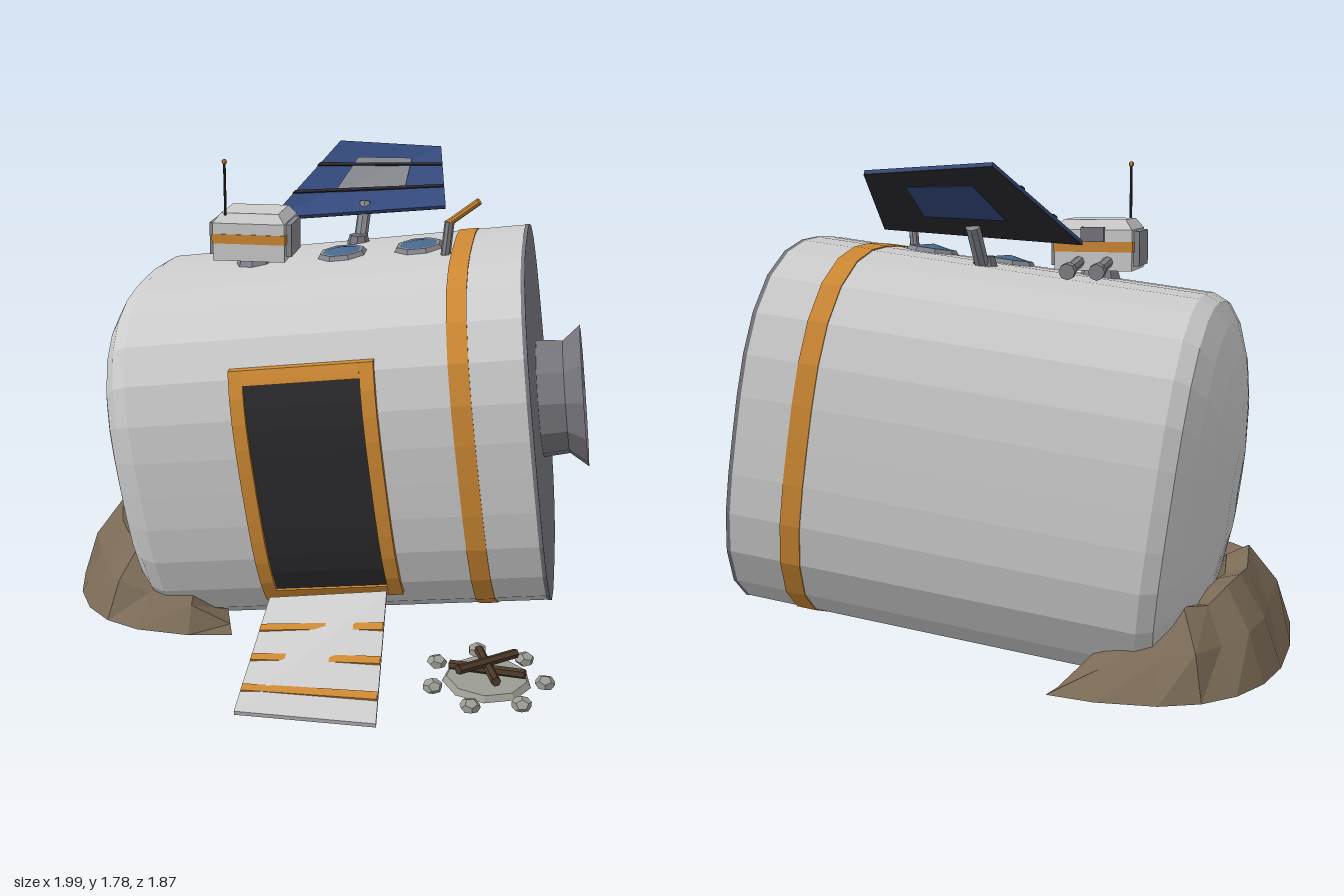
import * as THREE from 'three';

const V = (x, y, z) => new THREE.Vector3(x, y, z);
const mat = (color, extra = {}) => new THREE.MeshStandardMaterial({ color, flatShading: true, ...extra });
const GREY = mat(0xcccccc), DARK = mat(0x77757c), ORANGE = mat(0xcc8833), BLACK = mat(0x2a2a2e);
const BLUE = mat(0x34497c), GLASS = mat(0x46688c), STEEL = mat(0x85868c);
const SOIL = mat(0x7a6a56, { side: THREE.DoubleSide }), WOOD = mat(0x4a3828), STONE = mat(0x9a9c94);

const HALF = 0.705, RY = 0.665, RZ = 0.65, POW = 3; // hull half length, radii, squareness

function add(parent, name, geo, material, pos) {
  const mesh = new THREE.Mesh(geo, material);
  mesh.name = name;
  if (pos) mesh.position.set(...pos);
  parent.add(mesh);
  return mesh;
}

// Apply a rule to every vertex of a geometry
function warp(geo, rule) {
  const p = geo.attributes.position, v = V(0, 0, 0);
  for (let i = 0; i < p.count; i++) {
    rule(v.fromBufferAttribute(p, i));
    p.setXYZ(i, v.x, v.y, v.z);
  }
  geo.computeVertexNormals();
  return geo;
}

const lathe = (pts, n) => new THREE.LatheGeometry(pts.map(p => new THREE.Vector2(...p)), n).rotateZ(-Math.PI / 2);

// Rounded-square hull section turned about x; profile points are [scale, x]
const hullPart = pts => warp(lathe(pts, 32), v => {
  const r = Math.hypot(v.y, v.z);
  if (r < 1e-5) return;
  const f = Math.pow(Math.abs(v.y / r) ** POW + Math.abs(v.z / r) ** POW, -1 / POW);
  v.y *= f * RY;
  v.z *= f * RZ;
});

// Plate that follows the hull's front side
const sidePlate = (x0, x1, y0, y1, off) => {
  const geo = new THREE.BoxGeometry(x1 - x0, y1 - y0, 0.04, 1, 10, 1);
  geo.translate((x0 + x1) / 2, (y0 + y1) / 2, off - 0.02);
  return warp(geo, v => { v.z += RZ * Math.pow(1 - Math.abs(v.y / RY) ** POW, 1 / POW); });
};

// Slab stretched over four corners; u0..u1 and v0..v1 select a part of it
function slab(c, thick, u0 = 0, u1 = 1, v0 = 0, v1 = 1, lift = 0) {
  const n = c[1].clone().sub(c[0]).cross(c[3].clone().sub(c[0])).normalize();
  return warp(new THREE.BoxGeometry(1, 1, 1), p => {
    const u = THREE.MathUtils.lerp(u0, u1, p.x + 0.5), v = THREE.MathUtils.lerp(v0, v1, p.y + 0.5);
    const h = p.z * thick + lift;
    p.copy(c[0]).lerp(c[1], u).lerp(c[3].clone().lerp(c[2], u), v).addScaledVector(n, h);
  });
}

// Straight rod between two points
function rod(parent, name, a, b, r, material, sides = 8) {
  const d = b.clone().sub(a);
  const mesh = add(parent, name, new THREE.CylinderGeometry(r, r, d.length(), sides), material);
  mesh.position.copy(a).addScaledVector(d, 0.5);
  mesh.quaternion.setFromUnitVectors(V(0, 1, 0), d.normalize());
  return mesh;
}

function buildHull() {
  const hull = new THREE.Group();
  hull.name = 'hull';
  hull.position.set(0.1, 0.7525, -0.21);
  hull.rotation.set(0.06, 0, 0.125);

  // Shell with domed end
  const shell = [];
  for (let i = 0; i <= 6; i++) {
    const a = (i / 6) * Math.PI / 2;
    shell.push([Math.sin(a), -HALF - 0.205 * Math.cos(a)]);
  }
  for (let i = 1; i <= 4; i++) shell.push([1, -HALF + (i / 4) * 2 * HALF]);
  add(hull, 'shell', hullPart(shell), GREY);
  add(hull, 'endCap', hullPart([[1.002, HALF - 0.012], [1.002, HALF + 0.002], [0, HALF + 0.002]]), DARK);
  add(hull, 'stripe', hullPart([[1, 0.44], [1.006, 0.44], [1.006, 0.51], [1, 0.51]]), ORANGE);

  // Docking collar
  const collar = lathe([[0.225, 0], [0.215, 0.1], [0.27, 0.167], [0.205, 0.11], [0.2, 0.02], [0, 0.02]], 12);
  add(hull, 'dockingCollar', collar.rotateX(Math.PI / 12), DARK, [HALF, 0.035, 0]);

  // Doorway
  const [x0, x1, y0, y1, w] = [-0.32, 0.19, -0.46, 0.44, 0.05];
  add(hull, 'doorway', sidePlate(x0 + w, x1 - w, y0 + w, y1 - w, 0.008), BLACK);
  add(hull, 'doorJamb', sidePlate(x0, x0 + w, y0, y1, 0.022), ORANGE);
  add(hull, 'doorJamb', sidePlate(x1 - w, x1, y0, y1, 0.022), ORANGE);
  add(hull, 'doorLintel', sidePlate(x0 + w, x1 - w, y1 - w, y1, 0.022), ORANGE);
  add(hull, 'doorSill', sidePlate(x0 + w, x1 - w, y0, y0 + w, 0.022), ORANGE);

  // Portholes above and below
  for (const [x, s] of [[0.02, 1], [0.31, 1], [0.27, -1], [-0.57, -1]]) {
    const port = new THREE.Group();
    port.name = 'porthole';
    port.position.set(x, s * RY, 0);
    if (s < 0) port.rotation.x = Math.PI;
    add(port, 'portholeRim', new THREE.CylinderGeometry(0.085, 0.105, 0.03, 8), STEEL).rotation.y = Math.PI / 8;
    add(port, 'portholeGlass', new THREE.ConeGeometry(0.075, 0.015, 8), GLASS, [0, 0.022, 0]).rotation.y = Math.PI / 8;
    hull.add(port);
  }
  return hull;
}

function buildRoofGear() {
  const g = new THREE.Group();
  g.name = 'roofGear';

  // Equipment box
  const cx = -0.295, cz = -0.172;
  add(g, 'boxFoot', new THREE.CylinderGeometry(0.06, 0.09, 0.1, 8), STEEL, [cx, 1.36, cz]);
  add(g, 'equipmentBox', new THREE.BoxGeometry(0.27, 0.14, 0.25), GREY, [cx, 1.47, cz]);
  const lid = new THREE.CylinderGeometry(0.8 * Math.SQRT1_2, Math.SQRT1_2, 0.035, 4).rotateY(Math.PI / 4).scale(0.27, 1, 0.25);
  add(g, 'boxLid', lid, GREY, [cx, 1.557, cz]);
  add(g, 'boxStripe', new THREE.BoxGeometry(0.276, 0.035, 0.256), ORANGE, [cx, 1.482, cz]);
  for (const s of [-1, 1]) {
    add(g, 'boxSidePanel', new THREE.BoxGeometry(0.02, 0.12, 0.18), STEEL, [cx + s * 0.145, 1.475, cz]);
    const x = cx + s * 0.05;
    rod(g, 'pipe', V(x, 1.43, cz - 0.12), V(x, 1.41, -0.47), 0.02, STEEL);
    rod(g, 'pipeEnd', V(x, 1.412, -0.45), V(x, 1.408, -0.485), 0.028, STEEL);
  }
  add(g, 'boxBackPlate', new THREE.BoxGeometry(0.08, 0.05, 0.02), DARK, [cx, 1.525, cz - 0.132]);

  // Antenna
  rod(g, 'antenna', V(-0.385, 1.56, -0.07), V(-0.385, 1.76, -0.07), 0.005, BLACK, 6);
  add(g, 'antennaTip', new THREE.SphereGeometry(0.01, 6, 5), ORANGE, [-0.385, 1.763, -0.07]);

  // Bent lever pipe
  rod(g, 'leverBase', V(0.43, 1.42, -0.05), V(0.445, 1.575, -0.035), 0.018, STEEL);
  rod(g, 'leverArm', V(0.44, 1.568, -0.036), V(0.55, 1.655, -0.01), 0.013, ORANGE);

  // Solar panel on a post
  rod(g, 'panelPost', V(0.07, 1.36, -0.355), V(0.08, 1.555, -0.48), 0.026, STEEL);
  add(g, 'postFoot', new THREE.CylinderGeometry(0.035, 0.05, 0.05, 8), DARK, [0.07, 1.425, -0.37]);
  const c = [V(-0.275, 1.5, -0.375), V(0.395, 1.55, -0.47), V(0.345, 1.735, -0.79), V(-0.055, 1.76, -0.71)];
  add(g, 'solarPanel', slab(c, 0.014), BLUE);
  add(g, 'panelBack', slab(c, 0.004, 0, 1, 0, 1, -0.009), BLACK);
  add(g, 'brokenCells', slab(c, 0.004, 0.28, 0.74, 0.3, 0.78, 0.008), STEEL);
  add(g, 'backCells', slab(c, 0.004, 0.28, 0.74, 0.3, 0.78, -0.012), BLUE);
  for (const v of [0.3, 0.66]) add(g, 'panelBar', slab(c, 0.006, 0, 1, v, v + 0.035, 0.011), BLACK);
  return g;
}

function buildRamp() {
  const g = new THREE.Group();
  g.name = 'ramp';
  const c = [V(-0.15, 0.09, 0.93), V(0.325, 0.09, 0.93), V(0.295, 0.325, 0.43), V(-0.13, 0.265, 0.43)];
  add(g, 'rampPlate', slab(c, 0.018), GREY);
  for (const v of [0.16, 0.42, 0.68]) add(g, 'rampTread', slab(c, 0.012, 0.005, 0.995, v, v + 0.055, 0.012), ORANGE);
  return g;
}

// Crescent of soil ploughed up round the domed end
function buildMound() {
  const pos = [], idx = [], N = 14, sq = t => Math.sign(t) * Math.abs(t) ** 0.8;
  for (let i = 0; i <= N; i++) {
    const a = THREE.MathUtils.degToRad(72 + 216 * i / N), wob = Math.sin(i * 2.4);
    const x = 0.52 * sq(Math.cos(a)), z = 0.69 * sq(Math.sin(a));
    const h = 0.31 * Math.sin(Math.PI * i / N) ** 0.45 * (0.93 + 0.07 * wob);
    for (const [k, y] of [[1, 0], [0.87 + 0.03 * wob, h * 0.55], [0.7, h], [0.55, h * 0.9], [0.4, 0]])
      pos.push(-0.48 + x * k, 0.1 + y, -0.245 + z * k);
  }
  for (let i = 0; i < N; i++) for (let j = 0; j < 4; j++) {
    const a = i * 5 + j, b = a + 5;
    idx.push(a, a + 1, b, b, a + 1, b + 1);
  }
  const geo = new THREE.BufferGeometry();
  geo.setAttribute('position', new THREE.Float32BufferAttribute(pos, 3));
  geo.setIndex(idx);
  geo.computeVertexNormals();
  return geo;
}

function buildCampfire() {
  const g = new THREE.Group();
  g.name = 'campfire';
  g.position.set(0.665, 0.1, 0.575);
  add(g, 'ashBed', new THREE.CylinderGeometry(0.14, 0.155, 0.02, 9), STONE);
  for (let i = 0; i < 7; i++) {
    const a = i * Math.PI * 2 / 7;
    const rock = add(g, 'rock', new THREE.DodecahedronGeometry(0.036), STONE, [0.2 * Math.cos(a), 0, 0.2 * Math.sin(a)]);
    rock.scale.y = 0.7;
    rock.rotation.y = i * 1.7;
  }
  for (let i = 0; i < 3; i++) {
    const a = 0.25 + i * Math.PI / 3, x = 0.135 * Math.cos(a), z = 0.135 * Math.sin(a), y = 0.03 + i * 0.015;
    rod(g, 'log', V(-x, y - 0.008, -z), V(x, y + 0.015, z), 0.017, WOOD, 6);
  }
  return g;
}

export function createModel() {
  const model = new THREE.Group();
  model.name = 'crashedPod';
  model.add(buildHull(), buildRoofGear(), buildRamp(), buildCampfire());
  add(model, 'soilMound', buildMound(), SOIL);
  return model;
}
